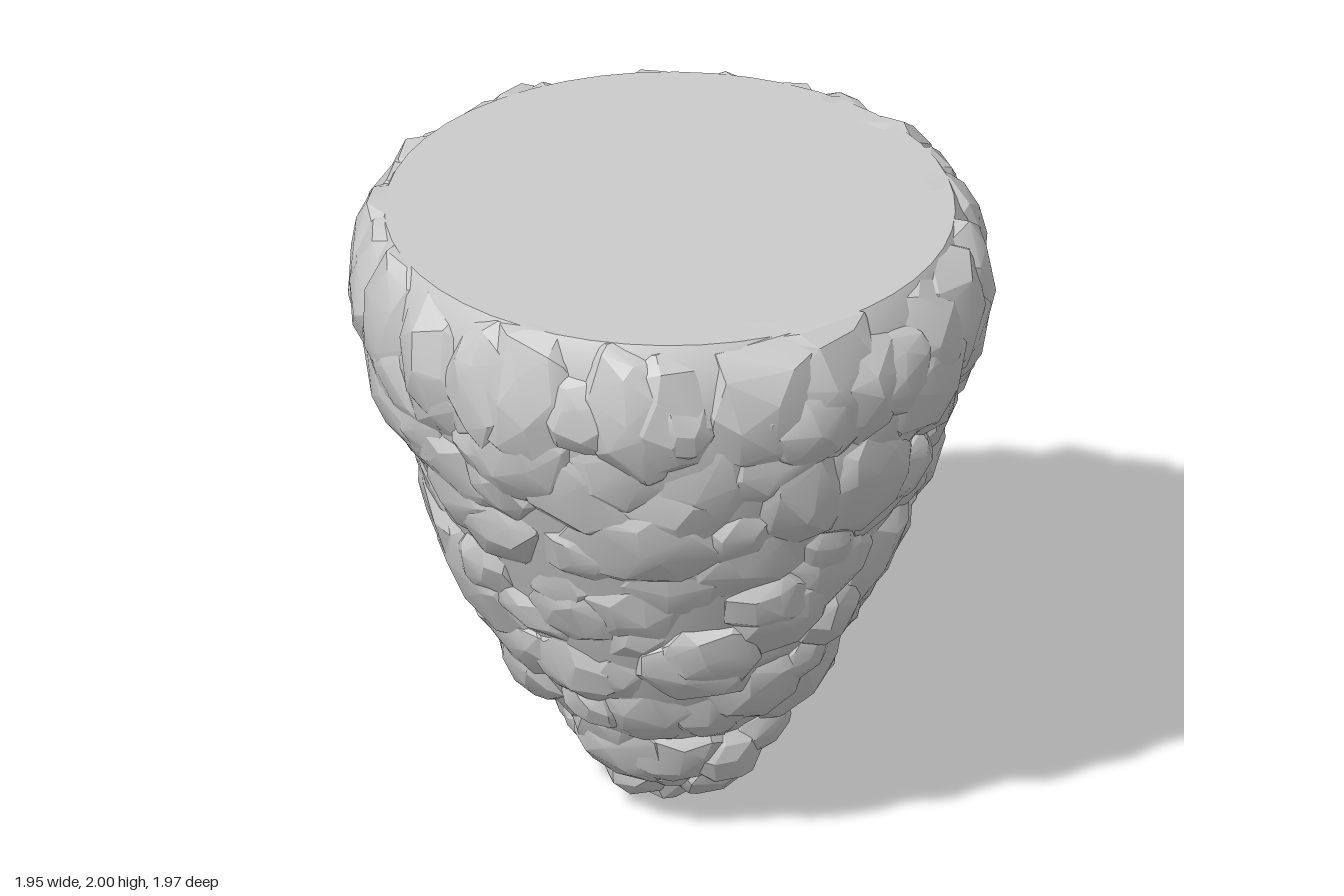
import * as THREE from 'three';
import { ConvexGeometry } from 'three/addons/geometries/ConvexGeometry.js';
import { mergeGeometries, toCreasedNormals } from 'three/addons/utils/BufferGeometryUtils.js';

const material = new THREE.MeshStandardMaterial({ color: 0xcccccc });

// outer profile: radius, height
const PROFILE = [
  [0.1, 0.03], [0.26, 0.17], [0.435, 0.4], [0.56, 0.6], [0.65, 0.8], [0.735, 1.0],
  [0.815, 1.2], [0.89, 1.4], [0.95, 1.6], [0.975, 1.78], [0.95, 1.92], [0.89, 2.0],
];

function radiusAt(y) {
  for (let i = 1; i < PROFILE.length; i++) {
    const [r0, y0] = PROFILE[i - 1], [r1, y1] = PROFILE[i];
    if (y <= y1) return r0 + (r1 - r0) * (y - y0) / (y1 - y0);
  }
  return 0.89;
}

// small seeded random generator
let seed = 4711;
function random(min = 0, max = 1) {
  seed = (seed * 1664525 + 1013904223) >>> 0;
  return min + (max - min) * (seed / 4294967296);
}

// worn convex stone: scattered points on an ellipsoid, trimmed flat at top and bottom
function stone(centre, axes, sizes, count = 42) {
  const points = [];
  for (let i = 0; i < count; i++) {
    const h = THREE.MathUtils.clamp(1 - 2 * (i + 0.5) / count + random(-0.06, 0.06), -1, 1);
    const a = i * 2.39996 + random(-0.35, 0.35);
    const ring = Math.sqrt(1 - h * h);
    const unit = [ring * Math.cos(a), ring * Math.sin(a), h];
    const swell = random(0.95, 1.04);
    const p = centre.clone();
    axes.forEach((axis, k) => p.addScaledVector(axis, unit[k] * sizes[k] * swell));
    p.y = THREE.MathUtils.clamp(p.y, 0, 2);
    points.push(p);
  }
  return toCreasedNormals(new ConvexGeometry(points), 0.38);
}

// stone half sunk into the slope at a given angle and height; the middle drifts slightly back and right
function slopeStone(angle, y, width, height, depth, lift, roll) {
  const lean = (radiusAt(y + 0.08) - radiusAt(y - 0.08)) / 0.16;
  const normal = new THREE.Vector3(Math.cos(angle), -lean, Math.sin(angle)).normalize();
  const side = new THREE.Vector3(-Math.sin(angle), 0, Math.cos(angle));
  side.applyAxisAngle(normal, random(-roll, roll));
  const up = new THREE.Vector3().crossVectors(normal, side);
  const r = radiusAt(y);
  const drift = Math.sin(Math.PI * y / 2);
  const centre = new THREE.Vector3(Math.cos(angle) * r - 0.012 * drift, y, Math.sin(angle) * r - 0.018 * drift);
  centre.addScaledVector(normal, lift - depth);
  return stone(centre, [side, up, normal], [width, height, depth]);
}

export function createModel() {
  const group = new THREE.Group();
  const add = (name, geometry) => {
    const mesh = new THREE.Mesh(geometry, material);
    mesh.name = name;
    group.add(mesh);
  };

  // solid core with the flat top
  const corePoints = [new THREE.Vector2(0, 0.08)];
  for (const [r, y] of PROFILE.slice(1, -1)) corePoints.push(new THREE.Vector2(r - 0.05, y + 0.015));
  corePoints.push(new THREE.Vector2(0.86, 2), new THREE.Vector2(0, 2));
  add('core', toCreasedNormals(new THREE.LatheGeometry(corePoints, 48), 0.5));

  // rings of broad overlapping stones from the tip up to the rim
  const rows = 9;
  for (let row = 0; row < rows; row++) {
    const y = 0.3 + row * 0.175;
    const base = 0.16 + 0.06 * Math.min(1, row / 4);
    const count = Math.round(2 * Math.PI * radiusAt(y) / (base * 1.15));
    const stones = [];
    for (let i = 0; i < count; i++) {
      const angle = (i + (row % 2) / 2 + random(-0.4, 0.4)) / count * Math.PI * 2;
      const size = base * random(0.7, 1.3);
      stones.push(slopeStone(
        angle, y + random(-0.09, 0.09),
        size * random(0.85, 1.2), size * random(0.75, 1.05), size * random(0.5, 0.65),
        random(-0.015, 0.025), 1.3,
      ));
    }
    add('stoneRing' + (row + 1), mergeGeometries(stones));
  }

  // rim stones, trimmed level with the top
  const rim = [];
  for (let i = 0; i < 26; i++) {
    const angle = (i + random(-0.3, 0.3)) / 26 * Math.PI * 2;
    rim.push(slopeStone(
      angle, random(1.75, 1.82), random(0.17, 0.25), random(0.22, 0.28), 0.14, random(-0.005, 0.012), 0.25,
    ));
  }
  add('rimStones', mergeGeometries(rim));

  // clustered stones at the tip: x, y, z, radius
  const axes = [new THREE.Vector3(1, 0, 0), new THREE.Vector3(0, 1, 0), new THREE.Vector3(0, 0, 1)];
  const tip = [
    [-0.01, 0.12, 0.02, 0.125], [-0.02, 0.15, 0.1, 0.12], [-0.15, 0.2, 0.02, 0.14],
    [0.1, 0.18, -0.05, 0.15], [-0.05, 0.19, -0.15, 0.15], [0.25, 0.3, 0.03, 0.14],
    [0.06, 0.24, -0.18, 0.14], [0.1, 0.24, 0.1, 0.13],
  ].map(([x, y, z, r]) => stone(new THREE.Vector3(x, y, z), axes, [r, r, r]));
  add('tipStones', mergeGeometries(tip));

  return group;
}
